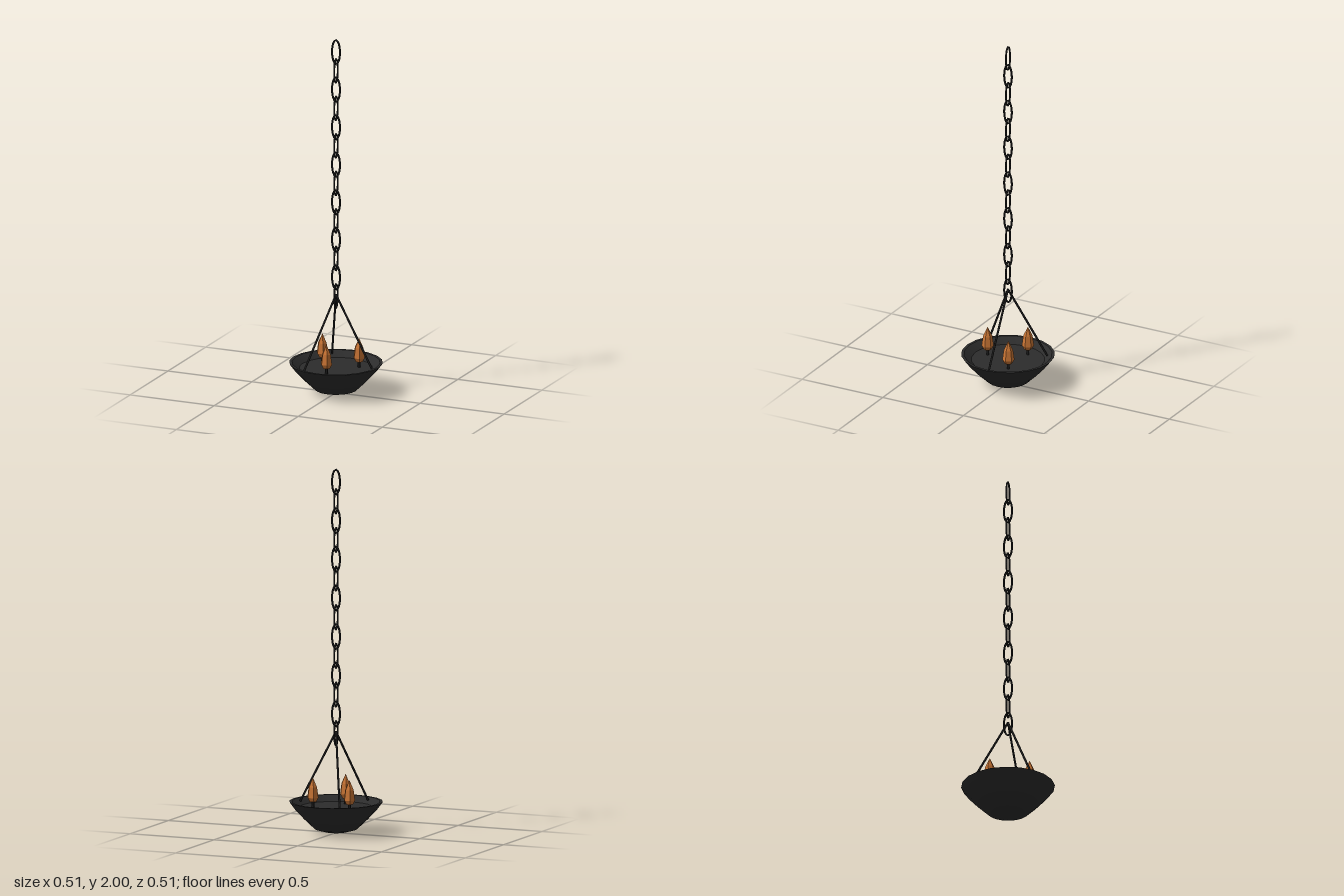
import * as THREE from 'three';
import { toCreasedNormals } from 'three/addons/utils/BufferGeometryUtils.js';

const iron = new THREE.MeshStandardMaterial({ color: 0x2c2c2c });
iron.name = 'dark iron';
const chainIron = new THREE.MeshStandardMaterial({ color: 0x1c1c1c });
chainIron.name = 'black chain iron';
const flameOrange = new THREE.MeshStandardMaterial({ color: 0xc87434 });
flameOrange.name = 'flame orange';

const TAU = Math.PI * 2;

// Turned solid from [radius, height] pairs, with edges sharper than crease kept
function turned(profile, sides, crease, phiStart = 0) {
  const points = profile.map(([r, y]) => new THREE.Vector2(r, y));
  return toCreasedNormals(new THREE.LatheGeometry(points, sides, phiStart), crease);
}

function addMesh(parent, name, geometry, material) {
  const mesh = new THREE.Mesh(geometry, material);
  mesh.name = name;
  parent.add(mesh);
  return mesh;
}

// Closed oval path for one chain link
class OvalCurve extends THREE.Curve {
  constructor(rx, ry) {
    super();
    this.rx = rx;
    this.ry = ry;
  }
  getPoint(t, target = new THREE.Vector3()) {
    return target.set(this.rx * Math.cos(t * TAU), this.ry * Math.sin(t * TAU), 0);
  }
}

export function createModel() {
  const model = new THREE.Group();
  model.name = 'hangingBrazier';

  // Shallow bowl: outer shell, flat rim, sloping inner wall and floor
  const bowlProfile = [
    [0, 0], [0.06, 0.006], [0.115, 0.021], [0.175, 0.078], [0.225, 0.132],
    [0.255, 0.172], [0.24, 0.172], [0.2, 0.14], [0, 0.14],
  ];
  addMesh(model, 'bowl', turned(bowlProfile, 20, 0.6), iron);

  // Three candles with faceted flames
  const flameGeometry = turned(
    [[0, 0.17], [0.02, 0.172], [0.033, 0.195], [0.025, 0.252], [0, 0.305]], 6, 0.05, Math.PI / 2);
  const wickGeometry = new THREE.CylinderGeometry(0.008, 0.008, 0.045, 6);
  for (let i = 0; i < 3; i++) {
    const a = Math.PI / 2 + i * TAU / 3;
    const candle = new THREE.Group();
    candle.name = 'candle';
    candle.position.set(0.126 * Math.cos(a), 0, 0.126 * Math.sin(a));
    addMesh(candle, 'flame', flameGeometry, flameOrange);
    addMesh(candle, 'wick', wickGeometry, chainIron).position.y = 0.157;
    model.add(candle);
  }

  // Three rods from the chain end to the bowl
  const apex = new THREE.Vector3(0, 0.555, 0);
  for (let i = 0; i < 3; i++) {
    const a = i * TAU / 3;
    const foot = new THREE.Vector3(0.213 * Math.cos(a), 0.16, 0.213 * Math.sin(a));
    const direction = apex.clone().sub(foot);
    const rod = addMesh(model, 'supportRod',
      new THREE.CylinderGeometry(0.006, 0.006, direction.length(), 8), chainIron);
    rod.position.copy(foot).add(apex).multiplyScalar(0.5);
    rod.quaternion.setFromUnitVectors(new THREE.Vector3(0, 1, 0), direction.normalize());
  }

  // Chain of oval links, each turned a quarter from the last
  const chain = new THREE.Group();
  chain.name = 'chain';
  const linkGeometry = new THREE.TubeGeometry(new OvalCurve(0.0235, 0.0675), 24, 0.0055, 6, true);
  for (let i = 0; i < 14; i++) {
    const link = addMesh(chain, 'chainLink', linkGeometry, chainIron);
    link.position.y = 1.927 - i * 0.1062;
    link.rotation.y = i % 2 ? Math.PI / 2 : 0;
  }
  model.add(chain);

  return model;
}
